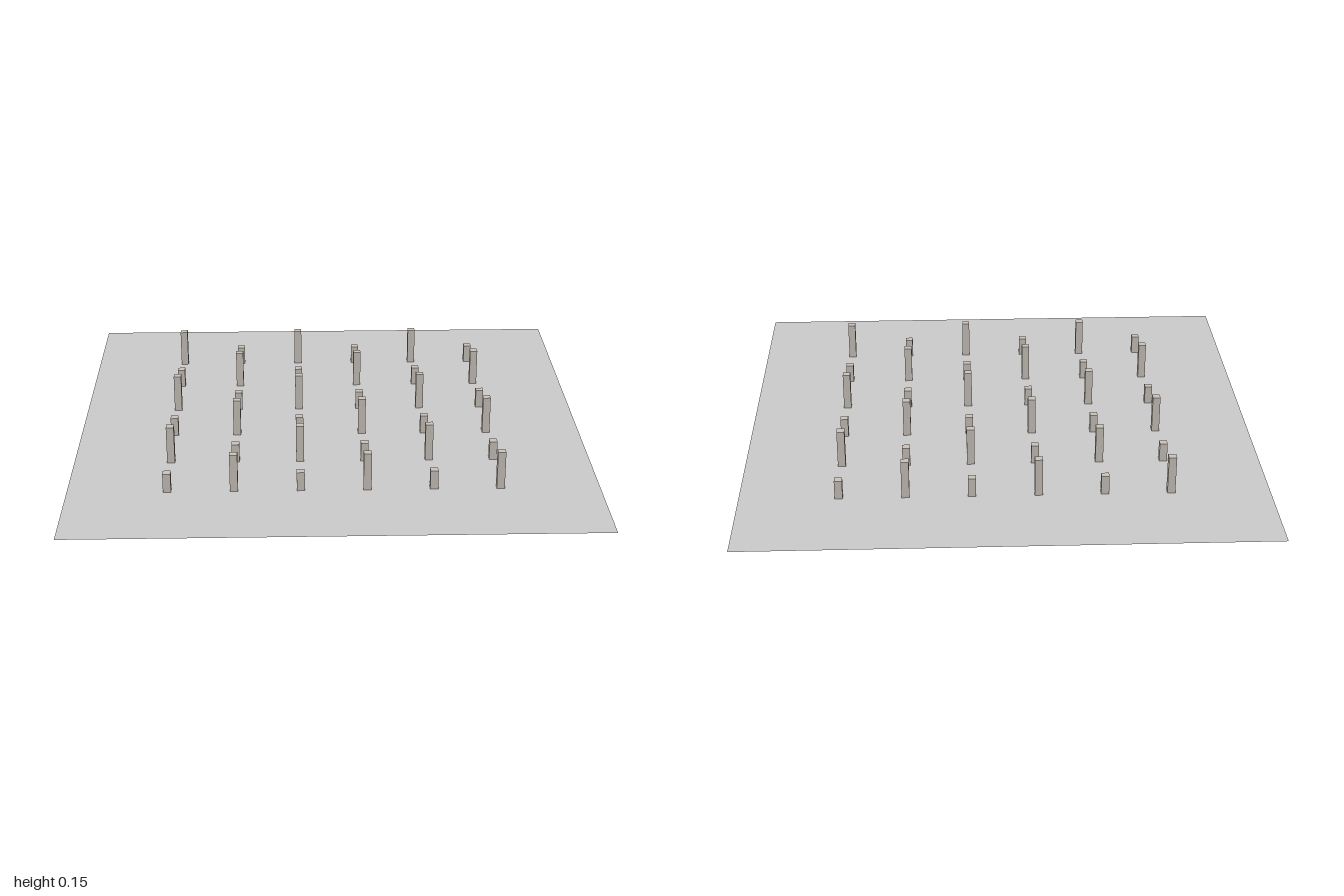
import * as THREE from 'three';

export function createModel() {
  const model = new THREE.Group();
  model.name = 'pillarField';

  // Flat square ground sheet, visible from both sides
  const groundMaterial = new THREE.MeshStandardMaterial({ color: 0xcccccc, side: THREE.DoubleSide });
  const ground = new THREE.Mesh(new THREE.PlaneGeometry(2, 2).rotateX(-Math.PI / 2), groundMaterial);
  ground.name = 'groundSheet';
  model.add(ground);

  // Square pillars, standing on y = 0
  const pillarMaterial = new THREE.MeshStandardMaterial({ color: 0xccc4bc });
  const pillarGeometry = (height) => new THREE.BoxGeometry(0.03, height, 0.03).translate(0, height / 2, 0);
  const tall = pillarGeometry(0.15);
  const short = pillarGeometry(0.075);

  // 6 x 6 grid, tall and short alternating like a checkerboard
  const count = 6, spacing = 0.25;
  const place = (index) => (index - (count - 1) / 2) * spacing;
  for (let row = 0; row < count; row++) {
    for (let column = 0; column < count; column++) {
      const isTall = (row + column) % 2 === 0;
      const pillar = new THREE.Mesh(isTall ? tall : short, pillarMaterial);
      pillar.name = isTall ? 'tallPillar' : 'shortPillar';
      pillar.position.set(place(column), 0, place(row));
      model.add(pillar);
    }
  }
  return model;
}
